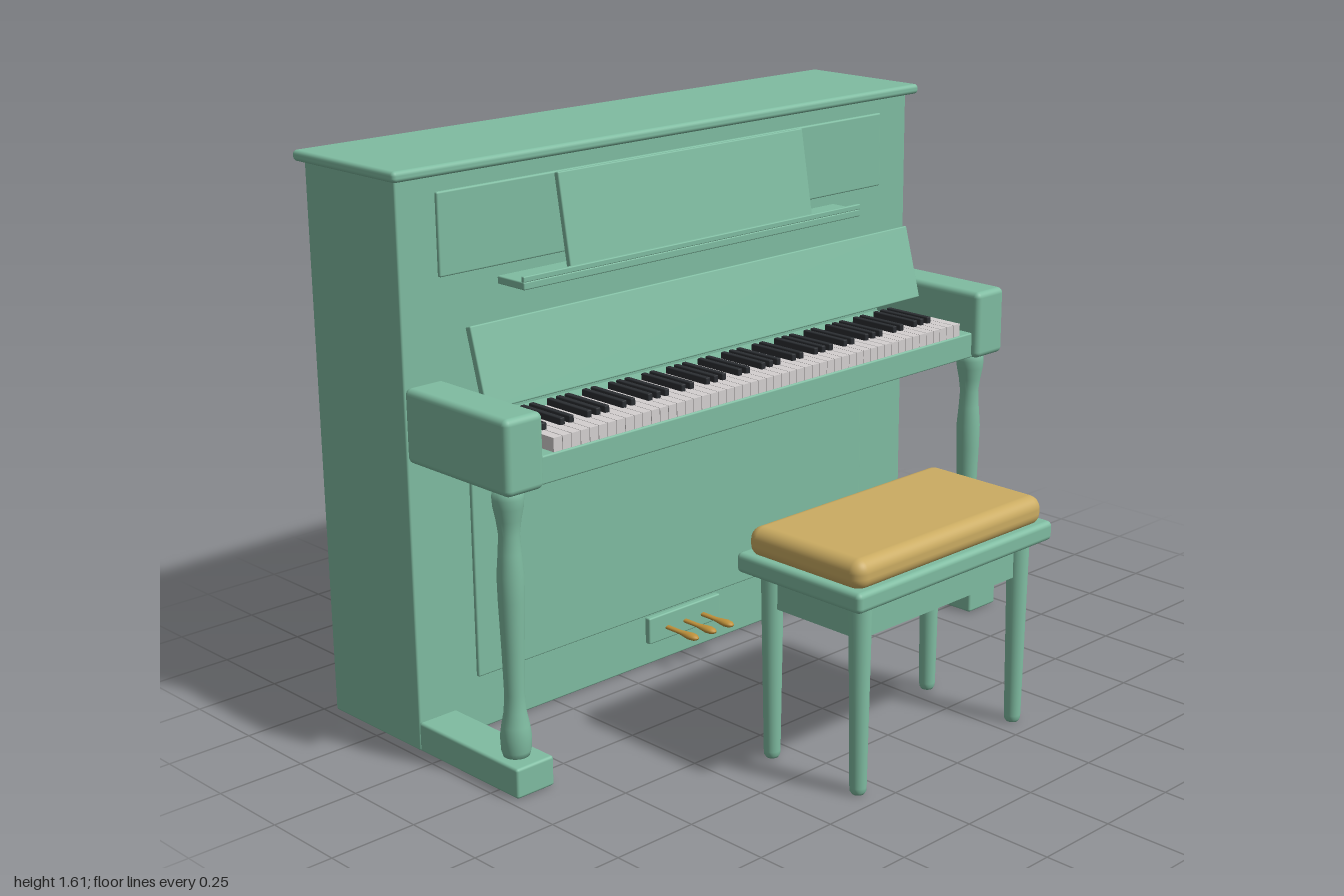
import * as THREE from 'three';
import { RoundedBoxGeometry } from 'three/addons/geometries/RoundedBoxGeometry.js';

const material = (name, color) => {
  const m = new THREE.MeshStandardMaterial({ color });
  m.name = name;
  return m;
};

export function createModel() {
  const root = new THREE.Group();
  root.name = 'uprightPianoAndBench';
  const green = material('paintedGreen', 0x7fbca1);
  const tan = material('cushionTan', 0xcbac62);
  const brass = material('pedalBrass', 0xc0923c);
  const ivory = material('keyWhite', 0xd4d0d0);
  const black = material('keyBlack', 0x2b2e32);

  const piano = new THREE.Group();
  piano.name = 'piano';
  const bench = new THREE.Group();
  bench.name = 'bench';
  root.add(piano, bench);

  const add = (parent, name, geometry, mat, x = 0, y = 0, z = 0) => {
    const mesh = new THREE.Mesh(geometry, mat);
    mesh.name = name;
    mesh.position.set(x, y, z);
    parent.add(mesh);
    return mesh;
  };
  // Box given by its extents; a radius rounds the edges
  const block = (parent, name, mat, [x0, x1], [y0, y1], [z0, z1], radius = 0) => {
    const size = [x1 - x0, y1 - y0, z1 - z0];
    const geometry = radius ? new RoundedBoxGeometry(...size, 3, radius) : new THREE.BoxGeometry(...size);
    return add(parent, name, geometry, mat, (x0 + x1) / 2, (y0 + y1) / 2, (z0 + z1) / 2);
  };
  const turned = (points, segments = 28) =>
    new THREE.LatheGeometry(points.map(([r, y]) => new THREE.Vector2(r, y)), segments);

  // Case and lid
  block(piano, 'caseBody', green, [-0.975, 0.975], [0, 1.576], [-0.725, -0.332], 0.006);
  block(piano, 'lid', green, [-1, 1], [1.575, 1.605], [-0.745, -0.3], 0.012);
  block(piano, 'upperPanel', green, [-0.85, 0.85], [1.305, 1.53], [-0.335, -0.322], 0.005);
  block(piano, 'lowerPanel', green, [-0.775, 0.775], [0.16, 0.737], [-0.335, -0.321], 0.005);

  // Music desk on its shelf
  block(piano, 'musicShelf', green, [-0.653, 0.653], [1.253, 1.275], [-0.34, -0.223], 0.004);
  block(piano, 'musicShelfLip', green, [-0.653, 0.653], [1.274, 1.29], [-0.235, -0.223], 0.003);
  const desk = add(piano, 'musicDesk', new RoundedBoxGeometry(0.94, 0.262, 0.018, 2, 0.004), green, 0, 1.404, -0.278);
  desk.rotation.x = -0.17;

  // Keybed and raised key cover
  block(piano, 'keybed', green, [-0.86, 0.86], [0.828, 0.905], [-0.34, 0.06], 0.005);
  const cover = add(piano, 'keyCover', new RoundedBoxGeometry(1.696, 0.222, 0.022, 2, 0.004), green, 0, 1.086, -0.189);
  cover.rotation.x = -0.27;

  // Keys: 52 white, with black ones between in the octave pattern
  const keys = new THREE.Group();
  keys.name = 'keyboard';
  piano.add(keys);
  const pitch = 1.6 / 52;
  const whiteGeometry = new THREE.BoxGeometry(pitch - 0.002, 0.038, 0.235);
  const blackGeometry = new RoundedBoxGeometry(0.016, 0.03, 0.165, 1, 0.003);
  for (let i = 0; i < 52; i++) {
    add(keys, 'whiteKey', whiteGeometry, ivory, -0.8 + (i + 0.5) * pitch, 0.924, -0.0625);
    if (i < 51 && [0, 2, 3, 5, 6].includes(i % 7)) {
      add(keys, 'blackKey', blackGeometry, black, -0.8 + (i + 1) * pitch, 0.947, -0.0975);
    }
  }

  // Arms, turned legs and feet on both sides
  const legGeometry = turned([
    [0, 0.08], [0.034, 0.08], [0.04, 0.1], [0.042, 0.14], [0.038, 0.17], [0.03, 0.21], [0.027, 0.26],
    [0.03, 0.38], [0.035, 0.52], [0.036, 0.59], [0.031, 0.65], [0.028, 0.7], [0.033, 0.74],
    [0.04, 0.775], [0.042, 0.8], [0.04, 0.83], [0, 0.83],
  ]);
  for (const side of [-1, 1]) {
    const xs = side > 0 ? [0.85, 0.975] : [-0.975, -0.85];
    block(piano, 'arm', green, xs, [0.826, 1.031], [-0.335, 0.082], 0.018);
    block(piano, 'foot', green, xs, [0, 0.085], [-0.335, 0.082], 0.008);
    add(piano, 'frontLeg', legGeometry, green, side * 0.913, 0, 0.005);
  }

  // Pedals
  block(piano, 'pedalPlate', green, [-0.145, 0.145], [0.07, 0.152], [-0.335, -0.314], 0.005);
  const pedalGeometry = turned(
    [[0, -0.065], [0.009, -0.065], [0.009, -0.01], [0.013, 0.015], [0.016, 0.035], [0.014, 0.052], [0.008, 0.062], [0, 0.065]], 16);
  pedalGeometry.rotateX(Math.PI / 2).scale(1, 0.65, 1);
  for (const x of [-0.072, 0, 0.072]) add(piano, 'pedal', pedalGeometry, brass, x, 0.106, -0.25);

  // Bench top and cushion
  block(bench, 'benchTop', green, [-0.393, 0.393], [0.535, 0.591], [0.3, 0.742], 0.015);
  const cushionGeometry = new RoundedBoxGeometry(0.75, 0.085, 0.405, 5, 0.036);
  add(bench, 'cushion', cushionGeometry, tan, 0, 0.622, 0.522);

  // Open frame under the bench top
  for (const z of [0.365, 0.678]) {
    block(bench, 'longApron', green, [-0.32, 0.32], [0.437, 0.54], [z - 0.01, z + 0.01]);
  }
  for (const x of [-0.32, 0.32]) {
    block(bench, 'shortApron', green, [x - 0.01, x + 0.01], [0.437, 0.54], [0.365, 0.678]);
  }

  // Tapered bench legs
  const benchLegGeometry = turned([[0, 0], [0.017, 0], [0.022, 0.008], [0.023, 0.02], [0.031, 0.54], [0, 0.54]], 20);
  for (const x of [-0.32, 0.32]) {
    for (const z of [0.365, 0.68]) add(bench, 'benchLeg', benchLegGeometry, green, x, 0, z);
  }
  return root;
}
